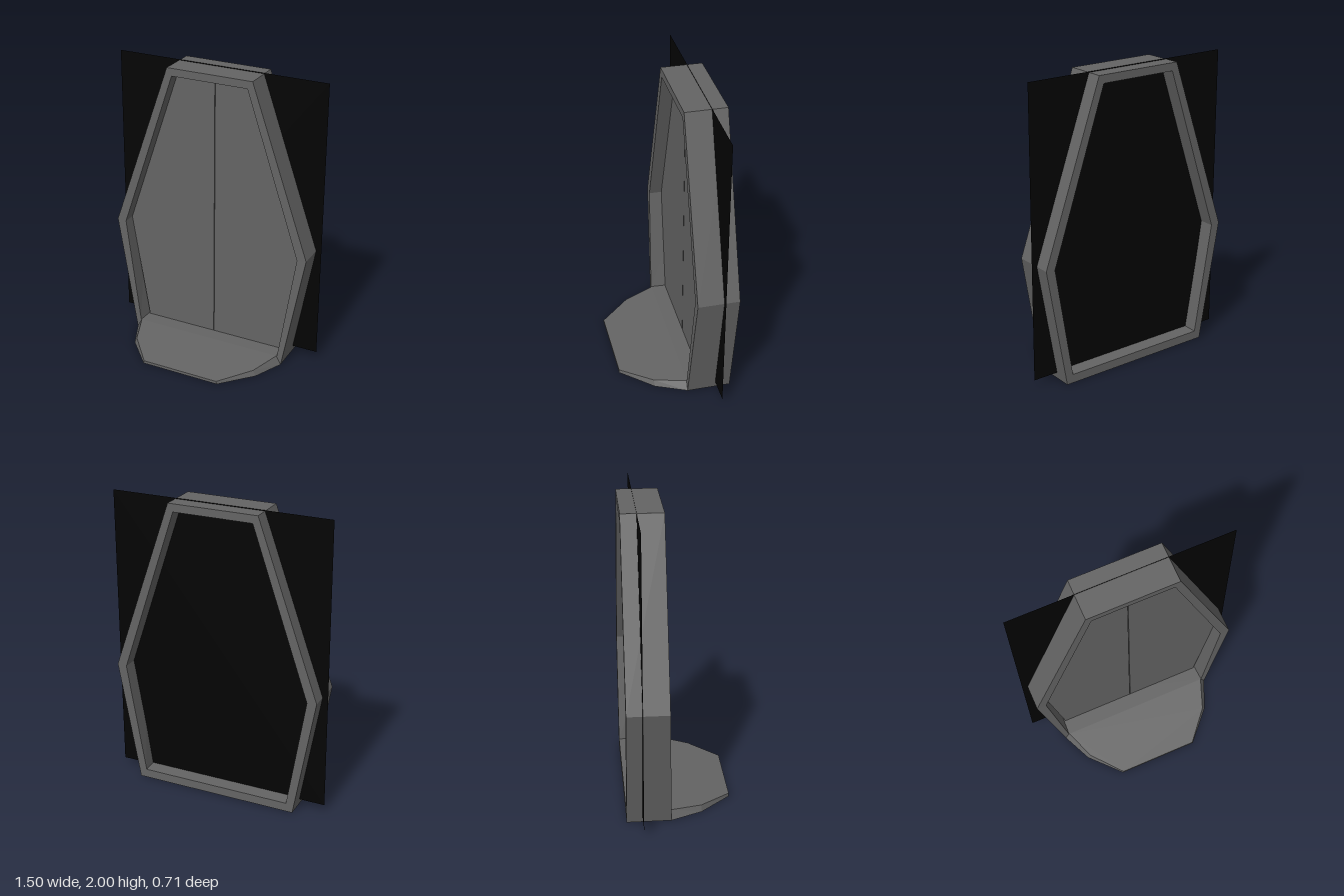
import * as THREE from 'three';

const V = (pts) => pts.map(([x, y]) => new THREE.Vector2(x, y));
// full outline from the points of its +x half
const mirrored = (pts) => V([...pts, ...pts.map(([x, y]) => [-x, y]).reverse()]);

const OUTER = [[0.305, 1.995], [0.713, 0.826], [0.565, 0]];
const INNER = [[0.27, 1.942], [0.648, 0.82], [0.52, 0.06]];
const BACK = -0.353, FRONT = -0.077, FOOT = -0.06, TIP = 0.353;

// move every vertex by a rule, then refresh the normals
function reshape(geo, rule) {
  const p = geo.attributes.position, v = new THREE.Vector3();
  for (let i = 0; i < p.count; i++) {
    rule(v.fromBufferAttribute(p, i));
    p.setXYZ(i, v.x, v.y, v.z);
  }
  geo.computeVertexNormals();
  return geo;
}

export function createModel() {
  const model = new THREE.Group();
  model.name = 'taperedDoorway';
  const grey = new THREE.MeshStandardMaterial({ color: 0x646464, flatShading: true });
  const black = new THREE.MeshStandardMaterial({ color: 0x030303, side: THREE.DoubleSide });
  const add = (name, geo, mat) => {
    const mesh = new THREE.Mesh(geo, mat);
    mesh.name = name;
    model.add(mesh);
    return mesh;
  };

  // six-sided frame, its foot leaning slightly forward; the hole runs the opposite way round
  const frameShape = new THREE.Shape(mirrored(OUTER));
  frameShape.holes.push(new THREE.Path(mirrored(INNER).reverse()));
  const frame = new THREE.ExtrudeGeometry(frameShape, { depth: FRONT - BACK, bevelEnabled: false });
  frame.translate(0, 0, BACK);
  reshape(frame, (v) => {
    if (v.z > -0.1 && v.y < 0.1) {
      v.z = FOOT;
      if (v.y > 0.03) v.x *= 1.03;
    }
  });
  add('frame', frame, grey);

  // pair of recessed door leaves with a hairline gap between them
  for (const s of [1, -1]) {
    const half = [[0.002, INNER[0][1]], ...INNER, [0.002, 0.06]].map(([x, y]) => [s * x, y]);
    const leaf = new THREE.ExtrudeGeometry(new THREE.Shape(V(half)), { depth: 0.025, bevelEnabled: false });
    leaf.translate(0, 0, -0.19);
    add(s > 0 ? 'leftDoor' : 'rightDoor', leaf, grey);
  }

  // sloping doorstep, narrower on top
  const stepShape = new THREE.Shape(mirrored([[0.565, -FOOT], [0.472, -0.147], [0.282, -TIP]]));
  const step = new THREE.ExtrudeGeometry(stepShape, { depth: 1, bevelEnabled: false });
  step.rotateX(-Math.PI / 2);
  reshape(step, (v) => {
    if (v.y < 0.5) { v.y = 0; return; }
    const t = (v.z - FOOT) / (TIP - FOOT);
    v.y = 0.06 - 0.04 * t;
    v.x *= 0.94 + 0.04 * t;
  });
  add('doorstep', step, grey);

  // flat dark backing sheet
  const sheet = add('backingSheet', new THREE.PlaneGeometry(1.5, 1.952), black);
  sheet.position.set(0, 1.024, -0.25);

  return model;
}
